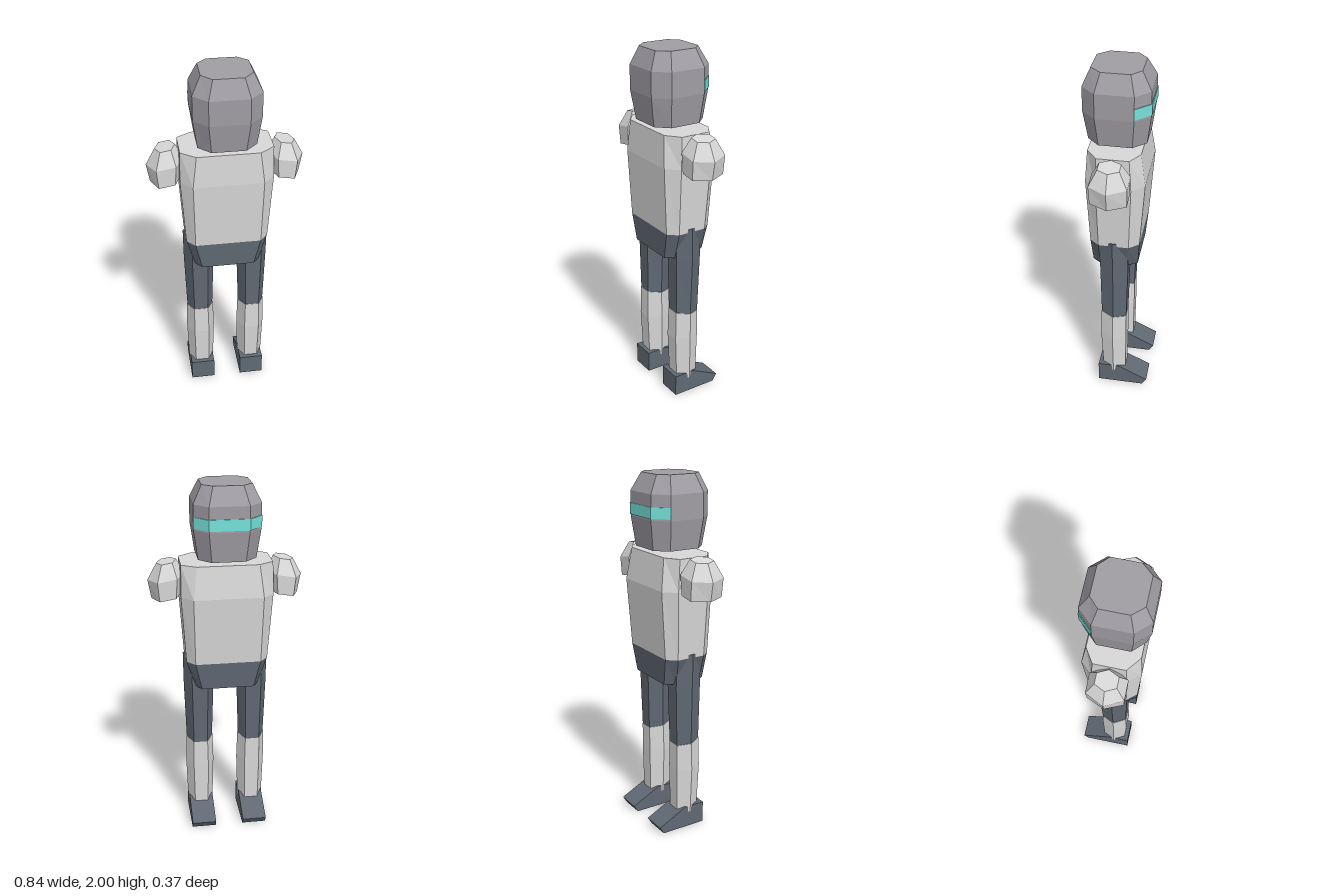
import * as THREE from 'three';

const mat = (name, color) => {
  const m = new THREE.MeshStandardMaterial({ color });
  m.name = name;
  return m;
};

// Closed faceted solid through cross-sections listed from bottom to top
function loft(rings) {
  const p = [];
  const tri = (a, b, c) => p.push(...a, ...b, ...c);
  const n = rings[0].length;
  for (let k = 0; k < rings.length - 1; k++) {
    const a = rings[k], b = rings[k + 1];
    for (let i = 0; i < n; i++) {
      const j = (i + 1) % n;
      tri(a[i], b[i], b[j]);
      tri(a[i], b[j], a[j]);
    }
  }
  const lo = rings[0], hi = rings[rings.length - 1];
  for (let i = 1; i < n - 1; i++) {
    tri(lo[0], lo[i], lo[i + 1]);
    tri(hi[0], hi[i + 1], hi[i]);
  }
  const g = new THREE.BufferGeometry();
  g.setAttribute('position', new THREE.Float32BufferAttribute(p, 3));
  g.computeVertexNormals();
  return g;
}

// Chamfered rectangle: half width, half flat width, z range, side corner z range
const octagon = ([y, hx, fx, z0, z1, c0, c1]) => [
  [hx, y, c1], [fx, y, z1], [-fx, y, z1], [-hx, y, c1],
  [-hx, y, c0], [-fx, y, z0], [fx, y, z0], [hx, y, c0],
];

// Hexagon with points at the sides, optionally tilted along x or z
const hexagon = (y, cx, cz, rx, rz, tiltX = 0, tiltZ = 0) =>
  [[1, 0], [0.52, 1], [-0.52, 1], [-1, 0], [-0.52, -1], [0.52, -1]].map(([u, v]) =>
    [cx + u * rx, y + u * rx * tiltX + v * rz * tiltZ, cz + v * rz]);

export function createModel() {
  const model = new THREE.Group();
  const armour = mat('light grey', 0xd8d8d8);
  const helmet = mat('helmet grey', 0xa09da4);
  const dark = mat('dark slate', 0x606973);
  const glow = mat('visor teal', 0x76e0da);

  const add = (name, geometry, material) => {
    const mesh = new THREE.Mesh(geometry, material);
    mesh.name = name;
    model.add(mesh);
  };

  // Head
  add('head', loft([
    [1.61, 0.155, 0.09, -0.147, 0.16, -0.08, 0.095],
    [1.77, 0.178, 0.105, -0.168, 0.184, -0.092, 0.108],
    [1.905, 0.178, 0.105, -0.168, 0.184, -0.092, 0.108],
    [2.0, 0.132, 0.079, -0.117, 0.142, -0.067, 0.083],
  ].map(octagon)), helmet);

  // Visor: thin band around the three face panels
  const outer = [[0.18, -0.095], [0.107, -0.172], [-0.107, -0.172], [-0.18, -0.095]];
  const inner = [[-0.175, -0.092], [-0.104, -0.166], [0.104, -0.166], [0.175, -0.092]];
  const band = new THREE.Shape([...outer, ...inner].map(([x, z]) => new THREE.Vector2(x, -z)));
  const visor = new THREE.ExtrudeGeometry(band, { depth: 0.06, bevelEnabled: false });
  visor.rotateX(-Math.PI / 2).translate(0, 1.78, 0);
  add('visor', visor, glow);

  // Body
  add('torso', loft([
    [1.03, 0.225, 0.18, -0.128, 0.143, -0.075, 0.09],
    [1.41, 0.25, 0.188, -0.155, 0.161, -0.09, 0.095],
    [1.585, 0.246, 0.167, -0.129, 0.15, -0.08, 0.09],
  ].map(octagon)), armour);
  add('pelvis', loft([
    [0.875, 0.18, 0.145, -0.115, 0.135, -0.055, 0.09],
    [1.03, 0.225, 0.18, -0.128, 0.143, -0.075, 0.09],
  ].map(octagon)), dark);

  // Foot side profile, with forward (-z) along the shape's x
  const footProfile = new THREE.Shape([
    [-0.105, 0], [0.162, 0], [0.187, 0.04], [0.018, 0.125], [-0.105, 0.125],
  ].map(([x, y]) => new THREE.Vector2(x, y)));

  for (const [side, s] of [['left', 1], ['right', -1]]) {
    // Shoulder stub, leaning outward
    add(side + 'Shoulder', loft([
      hexagon(1.395, s * 0.318, 0.008, 0.083, 0.096, -s * 0.16),
      hexagon(1.502, s * 0.319, 0.008, 0.1, 0.099, -s * 0.17),
      hexagon(1.585, s * 0.316, 0.008, 0.054, 0.056, -s * 0.17),
    ]), armour);

    // Leg
    add(side + 'Thigh', loft([
      hexagon(0.522, s * 0.151, 0.013, 0.074, 0.071, 0, 0.15),
      hexagon(0.86, s * 0.151, 0.01, 0.085, 0.078),
      hexagon(1.05, s * 0.152, 0.013, 0.086, 0.076),
    ]), dark);
    add(side + 'Shin', loft([
      hexagon(0.09, s * 0.149, 0.013, 0.073, 0.066),
      hexagon(0.36, s * 0.15, 0.016, 0.081, 0.074),
      hexagon(0.522, s * 0.151, 0.014, 0.077, 0.072, 0, 0.15),
    ]), armour);

    // Foot
    const foot = new THREE.ExtrudeGeometry(footProfile, { depth: 0.137, bevelEnabled: false });
    foot.translate(0, 0, -0.0685).rotateY(Math.PI / 2).translate(s * 0.1485, 0, 0);
    add(side + 'Foot', foot, dark);
  }
  return model;
}
